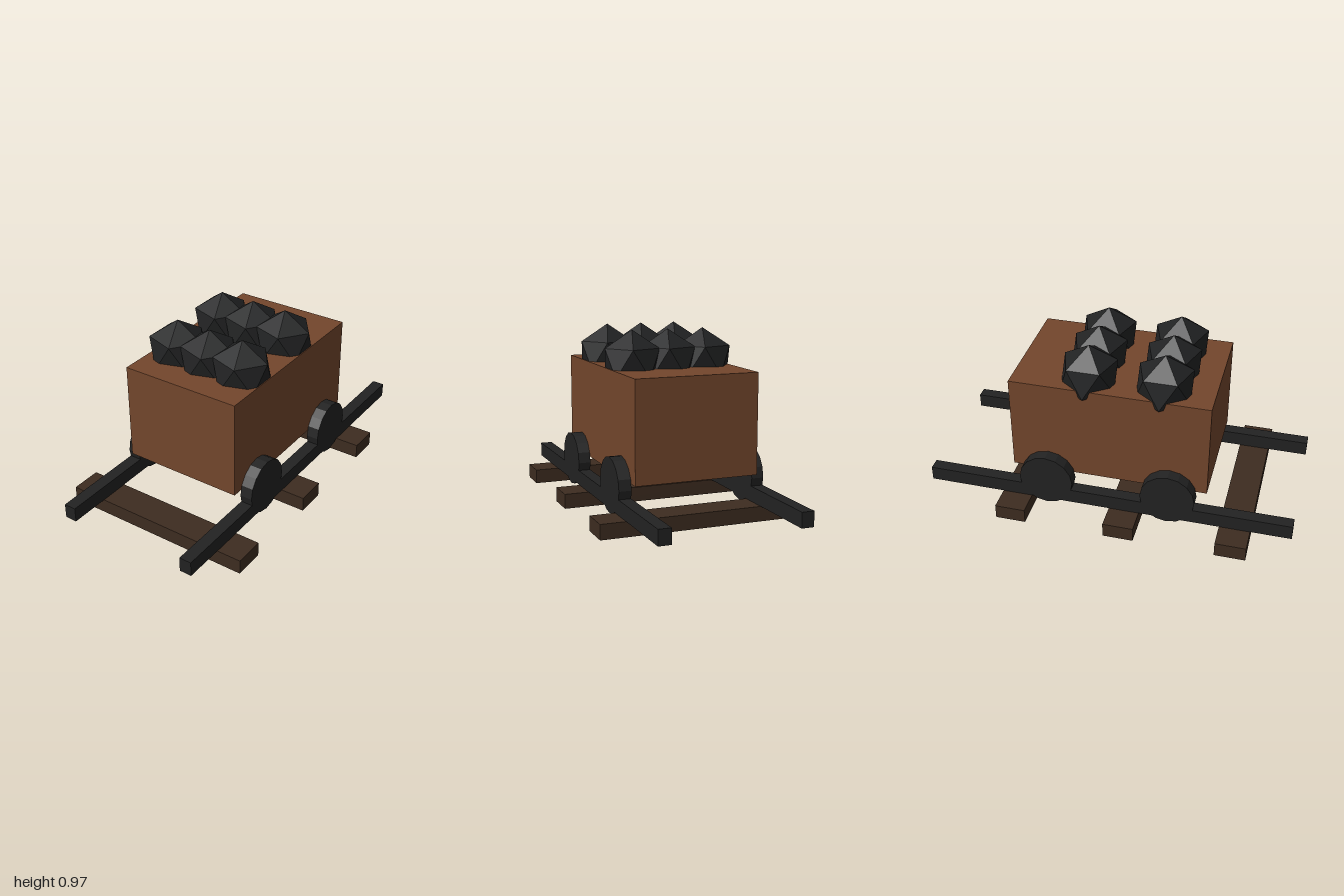
import * as THREE from 'three';

export function createModel() {
  const mat = (name, color) => {
    const m = new THREE.MeshStandardMaterial({ color, flatShading: true });
    m.name = name;
    return m;
  };
  const iron = mat('dark iron', 0x222222);
  const coal = mat('coal black', 0x212223);
  const rust = mat('rusty brown', 0x73462c);
  const timber = mat('dark timber', 0x3d2c20);

  const model = new THREE.Group();
  model.name = 'mineCart';
  const add = (name, geometry, material, x, y, z) => {
    const mesh = new THREE.Mesh(geometry, material);
    mesh.name = name;
    mesh.position.set(x, y, z);
    model.add(mesh);
  };
  // Box materials with a different underside
  const withBase = (main, base) => [main, main, main, base, main, main];

  // Track: three sleepers under two rails
  const sleeper = new THREE.BoxGeometry(1.067, 0.08, 0.165);
  for (const z of [-0.5, 0.1, 0.7]) {
    add('sleeper', sleeper, withBase(timber, iron), 0, 0.04, z);
  }
  const rail = new THREE.BoxGeometry(0.0667, 0.08, 2);

  // Wheels straddle the rails, axles along x
  const wheel = new THREE.CylinderGeometry(0.147, 0.147, 0.0667, 16);
  wheel.rotateZ(Math.PI / 2);
  for (const side of [-1, 1]) {
    add('rail', rail, iron, side * 0.3667, 0.12, 0);
    for (const z of [-0.333, 0.333]) {
      add('wheel', wheel, iron, side * 0.3667, 0.203, z);
    }
  }

  // Cart body
  add('cartBody', new THREE.BoxGeometry(0.667, 0.533, 1.067), withBase(rust, timber), 0, 0.502, 0);

  // Coal lumps: icosahedra turned point up, in two rows of three
  const lump = new THREE.IcosahedronGeometry(0.167, 0);
  lump.rotateZ(-Math.atan(2 / (1 + Math.sqrt(5))));
  for (const z of [-0.133, 0.267]) {
    for (const x of [-0.2, 0, 0.2]) add('coalLump', lump, coal, x, 0.8, z);
  }

  return model;
}
